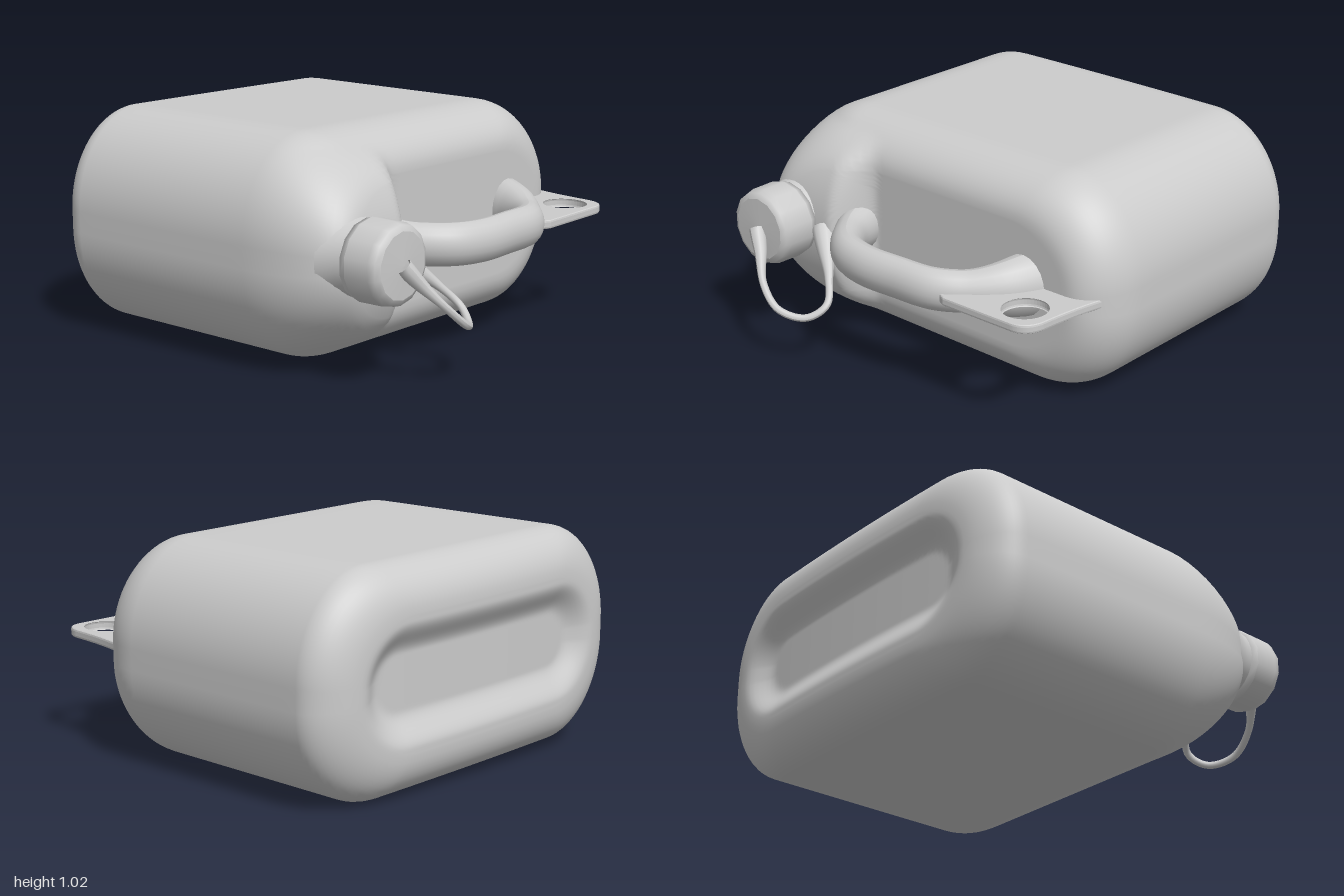
import * as THREE from 'three';

const material = new THREE.MeshStandardMaterial({ color: 0xcccccc, side: THREE.DoubleSide });
const smooth = THREE.MathUtils.smoothstep;
const HW = 0.98, HH = 0.5, MID = 0.515;

function add(group, name, geometry) {
  const mesh = new THREE.Mesh(geometry, material);
  mesh.name = name;
  group.add(mesh);
  return mesh;
}

// Rounded-rectangle outline, counter-clockwise, with elliptical corners
function outline() {
  const rx = 0.39, ry = 0.45, pts = [];
  const corners = [[1, 1], [-1, 1], [-1, -1], [1, -1]];
  corners.forEach(([sx, sy], k) => {
    const cx = sx * (HW - rx), cy = sy * (HH - ry);
    for (let i = 0; i <= 20; i++) {
      const a = (k + i / 20) * Math.PI / 2;
      pts.push([cx + rx * Math.cos(a), cy + ry * Math.sin(a)]);
    }
    // Subdivide the long straight edges
    if (k % 2 === 0) {
      const y = pts[pts.length - 1][1];
      for (let i = 1; i < 30; i++) pts.push([cx * (1 - 2 * i / 30), y]);
    }
  });
  return pts;
}

// Stations from back centre to front centre: [scale x, scale y, z]
function stations() {
  const list = [], back = 0.2, front = 0.2, capRings = 36;
  const at = (inset, z, s = 1) => list.push([s * (1 - inset / HW), s * (1 - inset / HH), z]);
  for (let i = 0; i < capRings; i++) at(back, -1, i / capRings);
  for (let i = 0; i <= 12; i++) {
    const a = i / 12 * Math.PI / 2;
    at(back * (1 - Math.sin(a)), -0.8 - 0.2 * Math.cos(a));
  }
  for (let i = 1; i < 12; i++) at(0, -0.8 + i / 12);
  for (let i = 0; i <= 14; i++) {
    const a = i / 14 * Math.PI / 2;
    at(front * (1 - Math.cos(a)), 0.2 + 0.27 * Math.sin(a));
  }
  for (let i = capRings - 1; i >= 0; i--) at(front, 0.47, i / capRings);
  return list;
}

// Shape the ends: grip recess at the back, raised spout shoulder at the front
function shapeZ(x, y, z) {
  if (z < -0.8) {
    const k = (-0.8 - z) / 0.2;
    const d = Math.hypot(Math.max(Math.abs(x) - 0.5, 0), y);
    const recess = 0.07 * (1 - smooth(d, 0.12, 0.27));
    return z + k * (0.03 * (x / 0.8) ** 2 + recess);
  }
  if (z > 0.2) {
    const t = (z - 0.2) / 0.27;
    const dome = 0.2 + 0.45 * t * Math.sqrt(1 - 0.9 * (y / 0.52) ** 2);
    const step = 1 - smooth(x, -0.47, -0.33);
    return z + step * (Math.max(dome, z) - z);
  }
  return z;
}

function bodyGeometry() {
  const ring = outline(), rows = stations(), n = ring.length, pos = [], index = [];
  rows.forEach(([sx, sy, sz], j) => ring.forEach(([px, py], i) => {
    const x = px * sx, y = py * sy;
    pos.push(x, MID + y - 0.015 * x, shapeZ(x, y, sz));
    if (j + 1 < rows.length) {
      const a = j * n + i, b = j * n + (i + 1) % n;
      index.push(a, b, a + n, b, b + n, a + n);
    }
  }));
  const g = new THREE.BufferGeometry();
  g.setAttribute('position', new THREE.Float32BufferAttribute(pos, 3));
  g.setIndex(index);
  g.computeVertexNormals();
  return g;
}

// Tube along points whose thickness follows radius(t), stretched in y
function taperedTube(points, radius, stretchY = 1, segs = 60, sides = 20) {
  const curve = new THREE.CatmullRomCurve3(points.map(p => new THREE.Vector3(...p)));
  const g = new THREE.TubeGeometry(curve, segs, 1, sides);
  const p = g.attributes.position, v = new THREE.Vector3();
  for (let i = 0; i < p.count; i++) {
    const t = Math.floor(i / (sides + 1)) / segs, c = curve.getPointAt(t);
    v.fromBufferAttribute(p, i).sub(c).multiplyScalar(radius(t));
    v.y *= stretchY;
    v.add(c);
    p.setXYZ(i, v.x, v.y, v.z);
  }
  g.computeVertexNormals();
  return g;
}

export function createModel() {
  const model = new THREE.Group();
  model.name = 'canister';
  add(model, 'body', bodyGeometry());

  // Carrying handle, flaring where it meets the body
  add(model, 'handle', taperedTube(
    [[-0.42, 0.54, 0.46], [-0.37, 0.54, 0.6], [-0.25, 0.535, 0.735], [-0.1, 0.53, 0.78], [0.1, 0.53, 0.78],
      [0.29, 0.525, 0.755], [0.41, 0.52, 0.67], [0.5, 0.52, 0.56], [0.56, 0.52, 0.42]],
    t => 0.076 + 0.04 * smooth(t, 0.75, 1) + 0.015 * (1 - smooth(t, 0, 0.15)), 1.25));

  // Flat eyelet tab beside the handle
  const tab = new THREE.Shape();
  tab.moveTo(0.36, -0.79);
  tab.lineTo(0.5, -0.4);
  tab.lineTo(0.92, -0.36);
  tab.quadraticCurveTo(0.88, -0.5, 0.865, -0.72);
  tab.quadraticCurveTo(0.85, -0.81, 0.77, -0.81);
  tab.lineTo(0.4, -0.81);
  const eye = new THREE.Path();
  eye.absellipse(0.73, -0.67, 0.1, 0.105, 0, Math.PI * 2, true);
  tab.holes.push(eye);
  const tabGeo = new THREE.ExtrudeGeometry(tab, {
    depth: 0.02, bevelThickness: 0.01, bevelSize: 0.006, bevelSegments: 2, curveSegments: 24,
  });
  tabGeo.rotateX(-Math.PI / 2).translate(0, 0.508, 0);
  add(model, 'eyeletTab', tabGeo);

  // Neck and screw cap, turned about the z axis
  const lathe = (pts, sides) => new THREE.LatheGeometry(pts.map(p => new THREE.Vector2(...p)), sides)
    .rotateX(Math.PI / 2).translate(-0.715, 0.55, 0);
  add(model, 'neck', lathe([[0.2, 0.54], [0.17, 0.62], [0.16, 0.7]], 32));
  add(model, 'cap', lathe([[0.13, 0.645], [0.172, 0.65], [0.181, 0.68], [0.181, 0.68], [0.179, 0.8],
    [0.17, 0.832], [0.145, 0.845], [0.145, 0.845], [0.05, 0.85], [0, 0.852]], 14));

  // Strap looping from the cap centre back to the neck
  add(model, 'capStrap', taperedTube(
    [[-0.72, 0.55, 0.85], [-0.66, 0.47, 0.89], [-0.57, 0.36, 0.96], [-0.46, 0.27, 0.975], [-0.35, 0.24, 0.91],
      [-0.3, 0.29, 0.83], [-0.36, 0.38, 0.755], [-0.44, 0.46, 0.69], [-0.52, 0.54, 0.63]],
    t => 0.017 + 0.02 * (1 - smooth(t, 0, 0.25)) + 0.035 * smooth(t, 0.7, 1), 1, 60, 12));
  return model;
}
